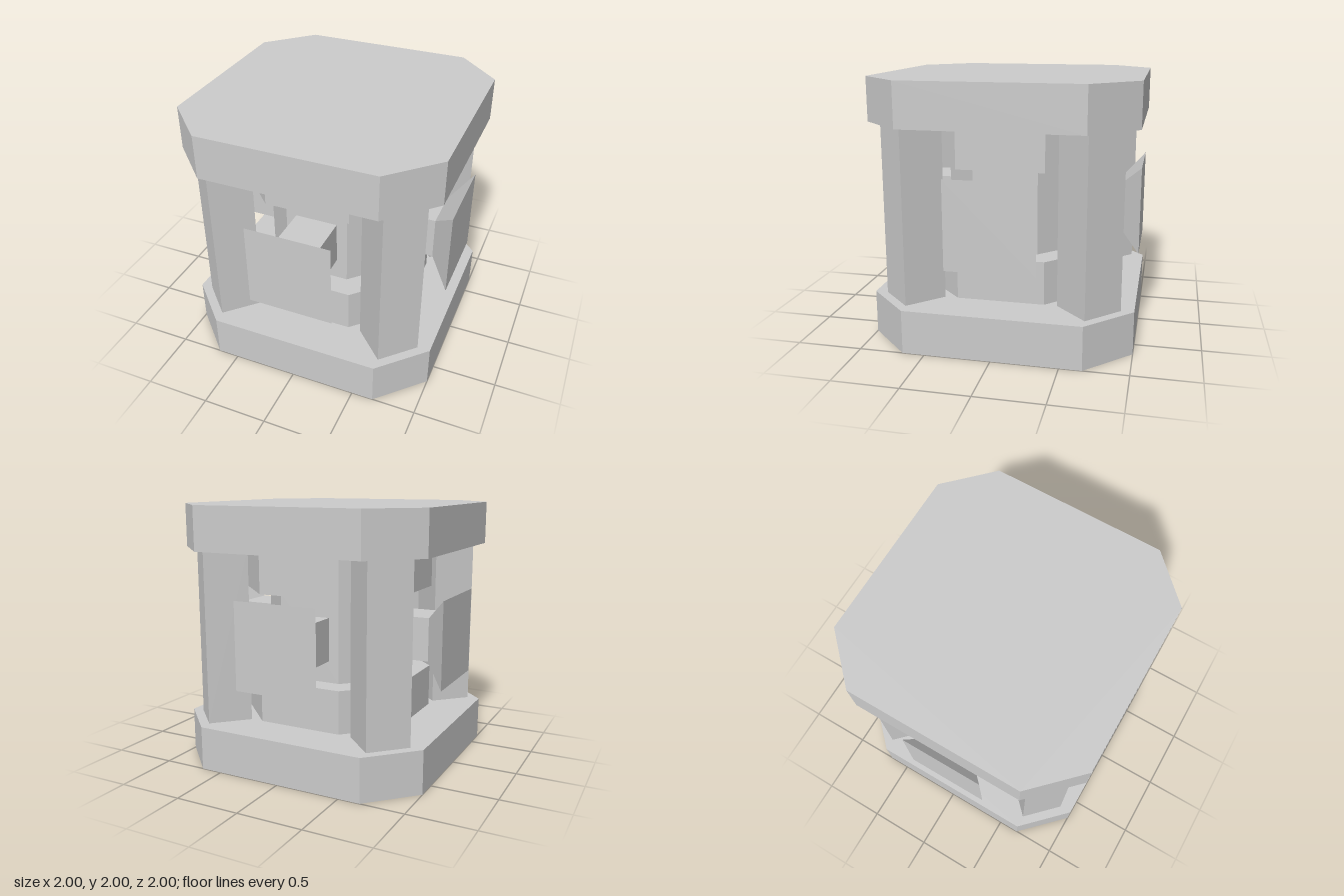
import * as THREE from 'three';

const T = 1 / 3; // basic grid step of the design
const material = new THREE.MeshStandardMaterial({ color: 0xcccccc, flatShading: true });

function part(name, geometry) {
  const mesh = new THREE.Mesh(geometry, material);
  mesh.name = name;
  return mesh;
}

// Square slab with chamfered corners, standing on y
function slab(name, half, chamfer, y, height) {
  const f = half - chamfer;
  const shape = new THREE.Shape([
    [f, -half], [half, -f], [half, f], [f, half],
    [-f, half], [-half, f], [-half, -f], [-f, -half],
  ].map(([x, z]) => new THREE.Vector2(x, z)));
  const geometry = new THREE.ExtrudeGeometry(shape, { depth: height, bevelEnabled: false });
  geometry.rotateX(-Math.PI / 2).translate(0, y, 0);
  return part(name, geometry);
}

// Square neck with a flared head, pointing along +z
function arm() {
  const group = new THREE.Group();
  group.name = 'arm';
  const neck = new THREE.BoxGeometry(T, T, T).translate(0, 1, 2 * T);
  const head = new THREE.CylinderGeometry(T * Math.SQRT2, T * Math.SQRT1_2, T / 2, 4)
    .rotateY(Math.PI / 4).rotateX(Math.PI / 2).translate(0, 1, 1 - T / 4);
  group.add(part('armNeck', neck), part('armHead', head));
  return group;
}

export function createModel() {
  const model = new THREE.Group();
  model.name = 'pillarBlock';

  // Stacked plates and the central core
  model.add(
    slab('basePlate', 1, T, 0, T),
    slab('lowerStep', 2 * T, T, T, T),
    slab('core', 0.5, 0.25, 2 * T, 2 * T),
    slab('upperStep', 2 * T, T, 4 * T, T),
    slab('topPlate', 1, T, 5 * T, T),
  );

  // Four corner posts set diagonally, four arms on the sides
  for (let i = 0; i < 4; i++) {
    const angle = i * Math.PI / 2;
    const post = part('cornerPost', new THREE.BoxGeometry(T, 4 * T, T));
    post.rotation.y = angle + Math.PI / 4;
    post.position.set(i % 2 ? 2 * T : -2 * T, 1, i < 2 ? 2 * T : -2 * T);
    const sideArm = arm();
    sideArm.rotation.y = angle;
    model.add(post, sideArm);
  }
  return model;
}
